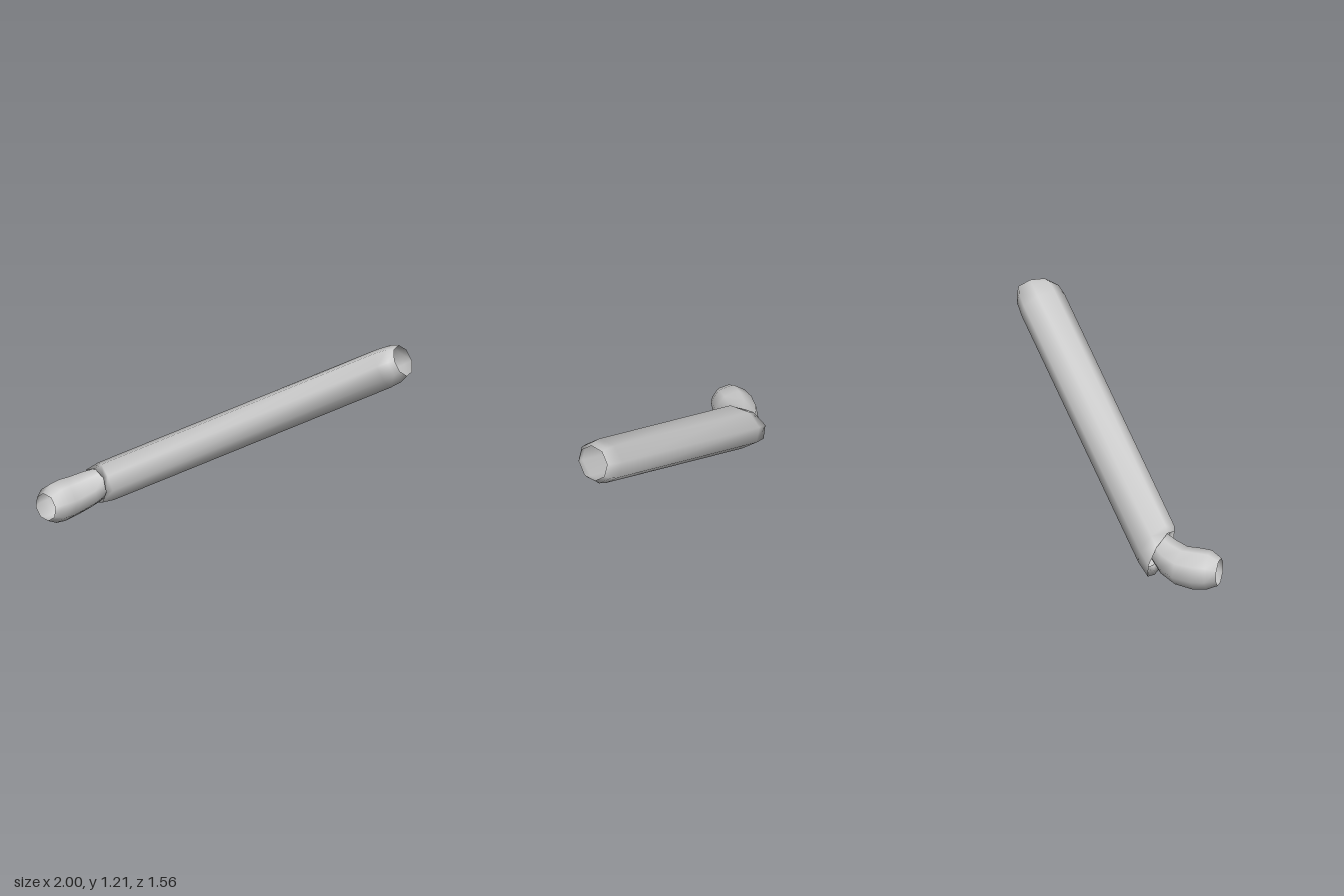
import * as THREE from 'three';

const SIDES = 8;
const V = (x, y, z) => new THREE.Vector3(x, y, z);
const material = new THREE.MeshStandardMaterial({ color: 0xcccccc, side: THREE.DoubleSide });

// Joins closed rings of points into one smooth skin
function loft(name, rings) {
  const index = [];
  for (let i = 0; i < rings.length - 1; i++) {
    for (let j = 0; j < SIDES; j++) {
      const a = i * SIDES + j, b = i * SIDES + (j + 1) % SIDES;
      index.push(a, b, a + SIDES, b, b + SIDES, a + SIDES);
    }
  }
  const geometry = new THREE.BufferGeometry().setFromPoints(rings.flat());
  geometry.setIndex(index);
  geometry.computeVertexNormals();
  const mesh = new THREE.Mesh(geometry, material);
  mesh.name = name;
  return mesh;
}

// Sleeve axis and the two axes of its slightly oval section
const axis = V(1, 0.54, -0.6).normalize();
const side = V(0.6, 0, 1).normalize();
const up = side.clone().cross(axis).negate().normalize();
if (up.y < 0) up.negate();
const tilt = 0.48;
const major = side.clone().multiplyScalar(Math.cos(tilt)).addScaledVector(up, Math.sin(tilt));
const minor = up.clone().multiplyScalar(Math.cos(tilt)).addScaledVector(side, -Math.sin(tilt));

// Section of the sleeve at x, cut by a plane with the given normal
function sleeveRing(x, scale, normal = axis) {
  const center = V(x, 0.6 + 0.545 * x, -0.085 - 0.6 * x);
  return Array.from({ length: SIDES }, (_, j) => {
    const t = (j / SIDES) * Math.PI * 2;
    const o = major.clone().multiplyScalar(0.157 * scale * Math.cos(t))
      .addScaledVector(minor, 0.134 * scale * Math.sin(t));
    return o.addScaledVector(axis, -o.dot(normal) / axis.dot(normal)).add(center);
  });
}

// Round section of the elbow, facing along a direction
function elbowRing([x, y, z, radius, dx, dy, dz]) {
  const d = V(dx, dy, dz).normalize();
  const u = V(0, 1, 0).cross(d).normalize();
  const v = d.clone().cross(u);
  return Array.from({ length: SIDES }, (_, j) => {
    const t = ((j + 0.3) / SIDES) * Math.PI * 2;
    return V(x, y, z).addScaledVector(u, radius * Math.cos(t)).addScaledVector(v, radius * Math.sin(t));
  });
}

export function createModel() {
  const model = new THREE.Group();
  model.name = 'bentSleeve';

  // Long sleeve: open tapered upper end, mitred lower end with a turned-in lip
  const mitre = V(-0.4, -0.15, 0.9);
  model.add(loft('sleeve', [
    sleeveRing(0.95, 0.78, V(1, 0.5, -0.3)),
    sleeveRing(0.91, 0.94, V(1, 0.5, -0.45)),
    sleeveRing(0.84, 1),
    sleeveRing(-0.71, 1, V(-0.6, -0.3, 0.75)),
    sleeveRing(-0.775, 0.9, mitre),
    sleeveRing(-0.74, 0.72, mitre),
  ]));

  // Short elbow: narrow neck inside the sleeve, rounded body, open front
  model.add(loft('elbow', [
    [-0.70, 0.23, 0.33, 0.09, -0.6, -0.4, 0.7],
    [-0.79, 0.17, 0.43, 0.12, -0.45, -0.2, 0.9],
    [-0.84, 0.14, 0.52, 0.13, -0.35, -0.1, 0.9],
    [-0.862, 0.134, 0.62, 0.138, -0.15, 0, 1],
    [-0.87, 0.136, 0.705, 0.13, -0.15, 0, 1],
    [-0.88, 0.13, 0.775, 0.092, -0.15, 0, 1],
  ].map(elbowRing)));

  return model;
}
